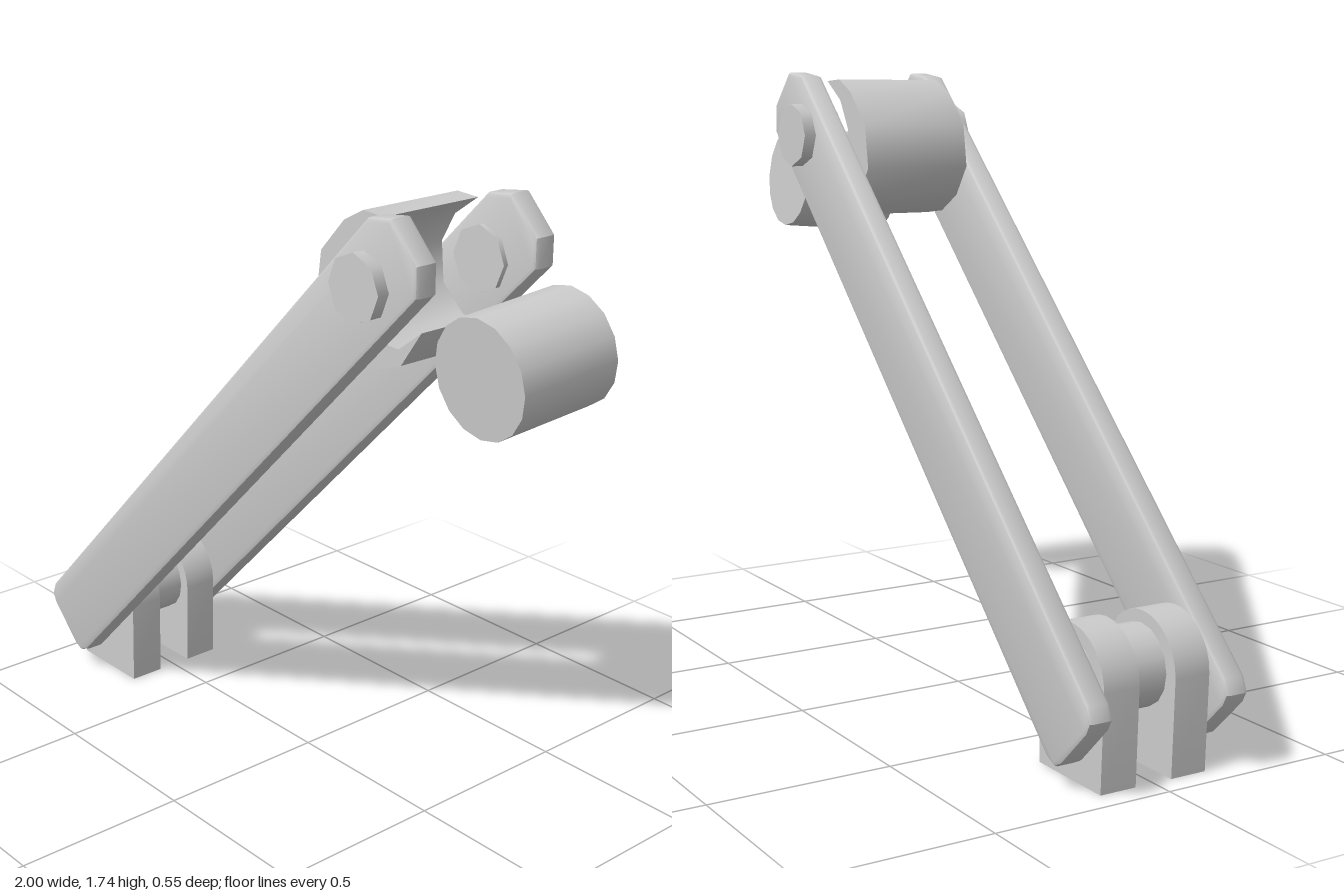
import * as THREE from 'three';
import { toCreasedNormals } from 'three/addons/utils/BufferGeometryUtils.js';

const material = new THREE.MeshStandardMaterial({ color: 0xcccccc });

function add(parent, name, geometry, x = 0, y = 0, z = 0) {
  const mesh = new THREE.Mesh(geometry, material);
  mesh.name = name;
  mesh.position.set(x, y, z);
  parent.add(mesh);
  return mesh;
}

// Extrudes a side profile along z, centred on z = 0, with an optional bevel inside the outline
function slab(shape, width, bevel = 0, crease = 0.7) {
  const geometry = new THREE.ExtrudeGeometry(shape, {
    depth: width - 2 * bevel,
    bevelEnabled: bevel > 0,
    bevelThickness: bevel,
    bevelSize: bevel,
    bevelOffset: -bevel,
    bevelSegments: 2,
    curveSegments: 8,
  });
  geometry.translate(0, 0, bevel - width / 2);
  return toCreasedNormals(geometry, crease);
}

const outline = (points) => new THREE.Shape(points.map(([x, y]) => new THREE.Vector2(x, y)));

// Cylinder lying along z
function rod(radius, length, sides) {
  const geometry = new THREE.CylinderGeometry(radius, radius, length, sides);
  return geometry.rotateX(Math.PI / 2);
}

export function createModel() {
  const model = new THREE.Group();
  model.name = 'liftArm';

  // Sloping bar with clipped corners
  const barGeometry = slab(outline([
    [-0.985, 0.25], [-1, 0.21], [-0.985, 0.18], [-0.88, 0.075], [-0.85, 0.06], [-0.815, 0.075],
    [0.668, 1.565], [0.668, 1.645], [0.575, 1.742], [0.49, 1.73],
  ]), 0.07, 0.012);

  // Foot lug with a rounded top
  const lugShape = new THREE.Shape();
  lugShape.moveTo(-0.133, 0);
  lugShape.lineTo(0.133, 0);
  lugShape.lineTo(0.143, 0.257);
  lugShape.absarc(0, 0.257, 0.143, 0, Math.PI, false);
  lugShape.lineTo(-0.133, 0);
  const lugGeometry = slab(lugShape, 0.105);

  const boltGeometry = rod(0.09, 0.12, 8);

  // Paired parts on both sides
  for (const [side, s] of [['front', 1], ['back', -1]]) {
    add(model, `${side}Bar`, barGeometry, 0, 0, s * 0.205);
    add(model, `${side}Lug`, lugGeometry, -0.802, 0, s * 0.107);
    add(model, `${side}Bolt`, boltGeometry, 0.485, 1.56, s * 0.215);
  }

  // Pivot axle through the lugs
  add(model, 'axle', rod(0.108, 0.36, 16), -0.8, 0.26, 0);

  // Crescent cradle between the bars
  add(model, 'cradle', slab(outline([
    [0.47, 1.716], [0.396, 1.72], [0.326, 1.683], [0.24, 1.59], [0.223, 1.47], [0.28, 1.385],
    [0.365, 1.335], [0.455, 1.325], [0.54, 1.355], [0.61, 1.455],
    [0.53, 1.395], [0.43, 1.4], [0.355, 1.47], [0.345, 1.58], [0.39, 1.66],
  ]), 0.325, 0, 0.8));

  // Slightly tilted loose roller
  const roller = add(model, 'roller', rod(0.153, 0.305, 16), 0.842, 1.413, 0.041);
  roller.quaternion.setFromUnitVectors(
    new THREE.Vector3(0, 0, 1),
    new THREE.Vector3(-0.013, -0.025, 0.305).normalize(),
  );

  return model;
}
